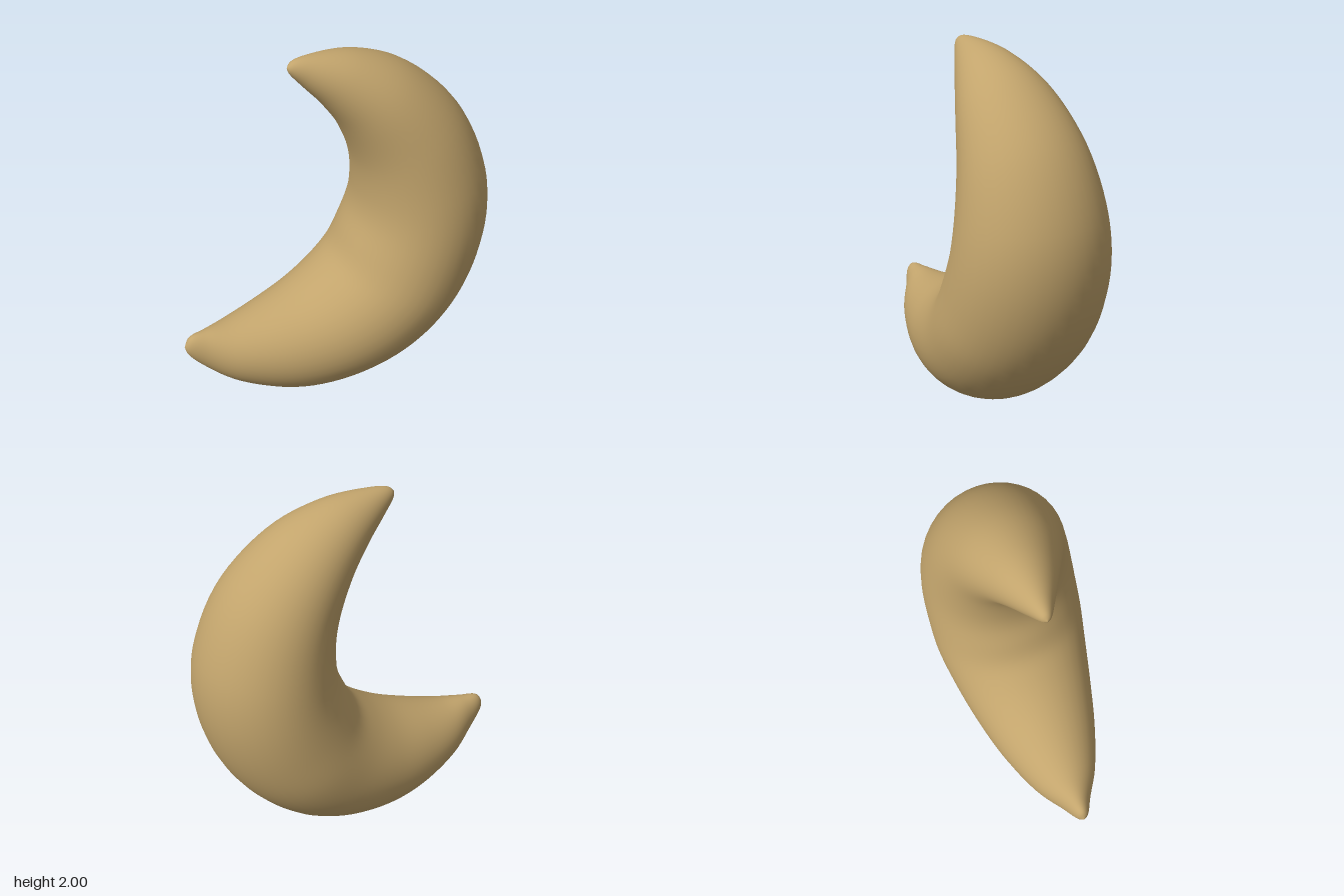
import * as THREE from 'three';
import { mergeVertices } from 'three/addons/utils/BufferGeometryUtils.js';

// Stations from the upper tip to the lower tip:
// outer x, outer y, inner x, inner y, half depth
const STATIONS = [
  [-0.245, 1.955, -0.245, 1.955, 0],
  [-0.215, 1.985, -0.235, 1.925, 0.027],
  [-0.1, 2.0, -0.17, 1.845, 0.08],
  [0.13, 1.98, -0.07, 1.73, 0.165],
  [0.4, 1.87, 0.03, 1.58, 0.255],
  [0.68, 1.61, 0.11, 1.37, 0.335],
  [0.84, 1.26, 0.13, 1.18, 0.39],
  [0.865, 0.96, 0.115, 1.05, 0.417],
  [0.79, 0.64, 0.065, 0.92, 0.43],
  [0.63, 0.37, 0, 0.79, 0.43],
  [0.38, 0.145, -0.1, 0.7, 0.4],
  [0.06, 0.02, -0.24, 0.615, 0.35],
  [-0.27, 0.01, -0.42, 0.545, 0.28],
  [-0.6, 0.13, -0.6, 0.497, 0.18],
  [-0.77, 0.26, -0.74, 0.482, 0.085],
  [-0.855, 0.36, -0.835, 0.465, 0.033],
  [-0.87, 0.41, -0.87, 0.41, 0],
];

// Elliptical rings spanning the outer and inner edges of the crescent
function crescentGeometry(rings = 90, sides = 40) {
  const outer = new THREE.CatmullRomCurve3(STATIONS.map(([x, y, , , w]) => new THREE.Vector3(x, y, w)));
  const inner = new THREE.CatmullRomCurve3(STATIONS.map(([, , x, y, w]) => new THREE.Vector3(x, y, w)));
  const positions = [];
  const index = [];
  for (let i = 0; i <= rings; i++) {
    const o = outer.getPoint(i / rings);
    const n = inner.getPoint(i / rings);
    for (let j = 0; j < sides; j++) {
      const angle = (j / sides) * Math.PI * 2;
      const k = (1 + Math.cos(angle)) / 2;
      positions.push(
        n.x + (o.x - n.x) * k,
        n.y + (o.y - n.y) * k,
        ((o.z + n.z) / 2) * Math.sin(angle)
      );
      if (i < rings) {
        const a = i * sides + j;
        const b = i * sides + ((j + 1) % sides);
        index.push(a, b, a + sides, b, b + sides, a + sides);
      }
    }
  }
  let geometry = new THREE.BufferGeometry();
  geometry.setAttribute('position', new THREE.Float32BufferAttribute(positions, 3));
  geometry.setIndex(index);
  geometry = mergeVertices(geometry, 1e-5); // joins each tip into one point
  geometry.computeVertexNormals();
  return geometry;
}

export function createModel() {
  const group = new THREE.Group();
  group.name = 'crescent';
  const body = new THREE.Mesh(
    crescentGeometry(),
    new THREE.MeshStandardMaterial({ color: 0xc2a46c })
  );
  body.name = 'crescentBody';
  group.add(body);
  return group;
}
